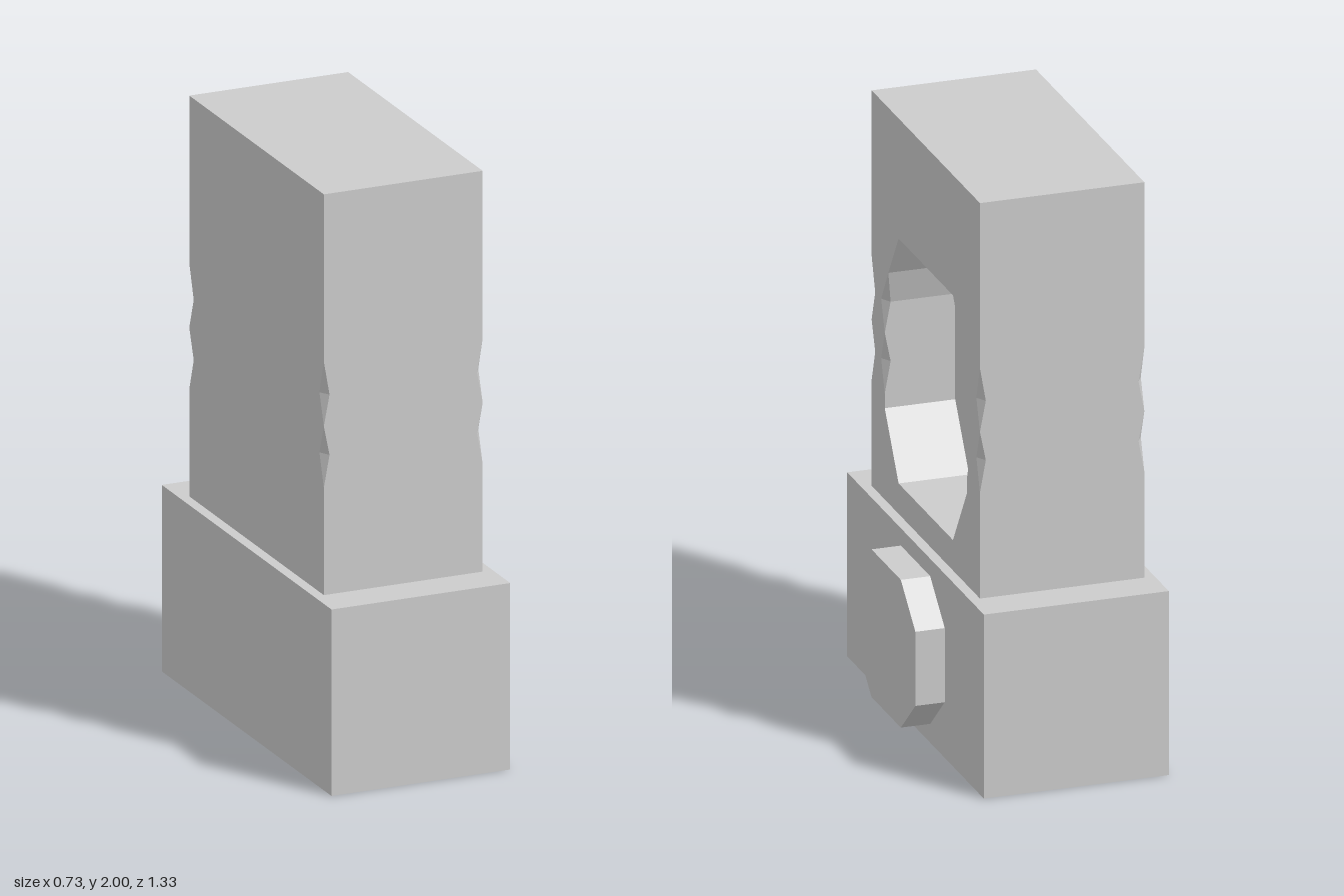
import * as THREE from 'three';

const material = new THREE.MeshStandardMaterial({ color: 0xcccccc, flatShading: true, side: THREE.DoubleSide });

// Tower extents: x centre, half width, half length
const CX = -0.05, HX = 0.28, HZ = 0.528;

// Horizontal section of the tower: w = recess half width, d = recess depth, n = edge notch (0 or 1)
function section(w, d, n) {
  const cx = 0.02 * n, cz = 0.035 * n;
  const half = [[HX - cx, HZ], [HX, HZ - cz], [HX, w + cz], [HX - cx, w], [HX - d, w]];
  const mirrored = half.map(([x, z]) => [x, -z]).reverse();
  const back = [[-HX + cx, -HZ], [-HX, -HZ + cz], [-HX, HZ - cz], [-HX + cx, HZ]];
  return [...half, ...mirrored, ...back];
}

// Tower with a recess in its side and notched vertical edges, lofted upwards
function towerGeometry() {
  const D = 0.24;
  const levels = [ // y, recess half width, recess depth, notch
    [0.635, 0.265, 0, 0], [0.74, 0.265, 0, 0], [0.74, 0.265, D, 0], [0.95, 0.4, D, 0],
    [1.0, 0.4, D, 0], [1.11, 0.4, D, 1], [1.21, 0.4, D, 0], [1.315, 0.4, D, 1],
    [1.43, 0.365, D, 0], [1.585, 0.265, D, 0], [1.585, 0.265, 0, 0], [2, 0.265, 0, 0],
  ];
  const positions = [], index = [];
  for (const [y, w, d, n] of levels)
    for (const [x, z] of section(w, d, n)) positions.push(CX + x, y, z);
  const count = positions.length / 3 / levels.length;
  for (let i = 0; i < levels.length - 1; i++)
    for (let j = 0; j < count; j++) {
      const a = i * count + j, b = i * count + (j + 1) % count;
      index.push(a, b, b + count, a, b + count, a + count);
    }
  // Top cap
  const top = (levels.length - 1) * count;
  for (let j = 1; j < count - 1; j++) index.push(top, top + j, top + j + 1);
  const g = new THREE.BufferGeometry();
  g.setAttribute('position', new THREE.Float32BufferAttribute(positions, 3));
  g.setIndex(index);
  const flat = g.toNonIndexed();
  flat.computeVertexNormals();
  return flat;
}

export function createModel() {
  const group = new THREE.Group();
  const add = (name, geometry) => {
    const mesh = new THREE.Mesh(geometry, material);
    mesh.name = name;
    group.add(mesh);
    return mesh;
  };

  // Base block
  add('base', new THREE.BoxGeometry(0.63, 0.635, 1.332)).position.set(-0.05, 0.3175, 0);

  add('tower', towerGeometry());

  // Octagonal button on the side of the base
  const w = 0.285, h = 0.255, a = 0.143, b = 0.128;
  const octagon = new THREE.Shape(
    [[w, b], [a, h], [-a, h], [-w, b], [-w, -b], [-a, -h], [a, -h], [w, -b]].map(([x, y]) => new THREE.Vector2(x, y)));
  const button = add('button', new THREE.ExtrudeGeometry(octagon, { depth: 0.1, bevelEnabled: false }));
  button.rotation.y = Math.PI / 2;
  button.position.set(0.265, 0.32, 0);

  return group;
}
